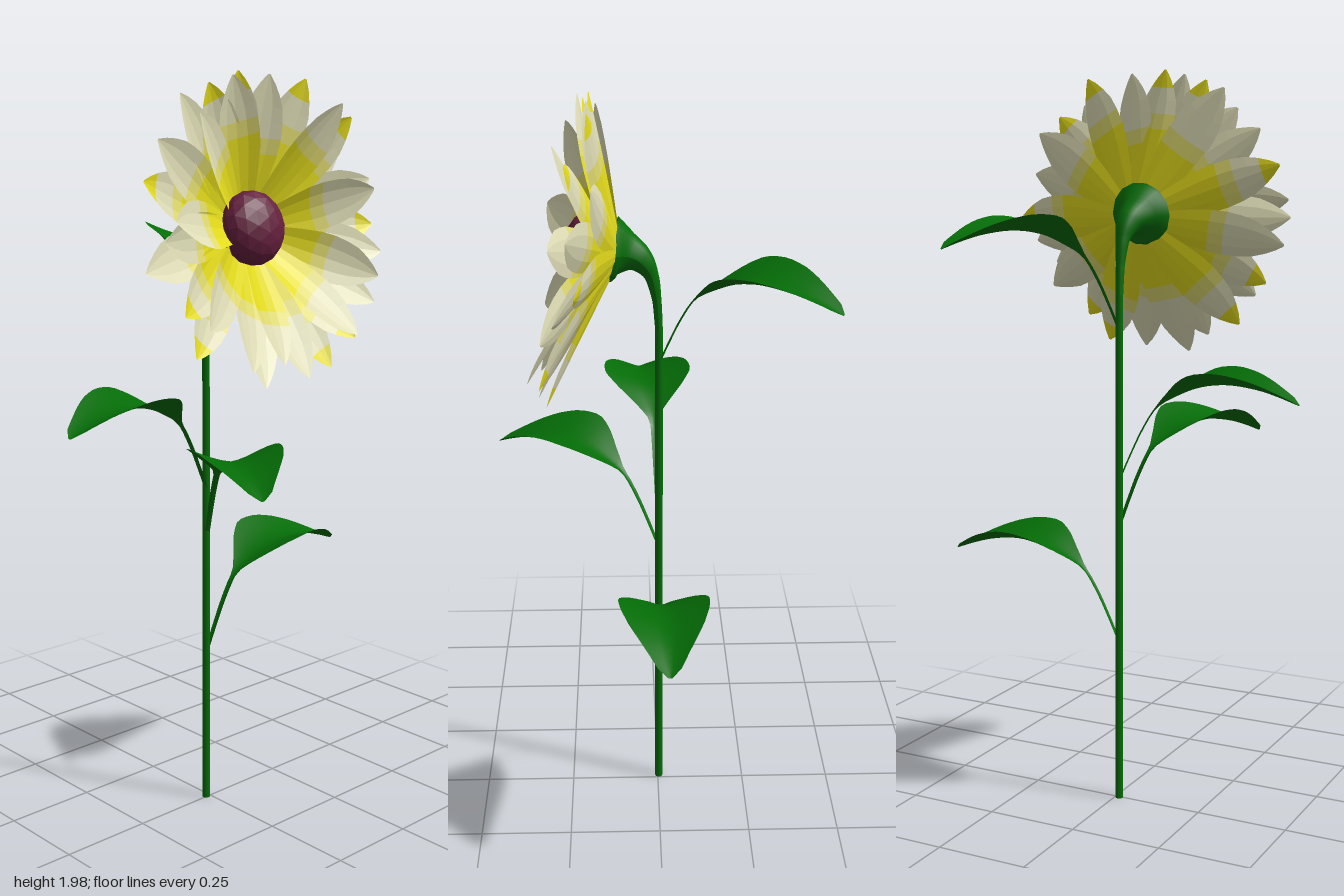
import * as THREE from 'three';

const mat = (name, color, flat = false) => {
  const m = new THREE.MeshStandardMaterial({ color, side: THREE.DoubleSide, flatShading: flat });
  m.name = name;
  return m;
};

// Surface through rows of points; bandOf(row) picks a material index
function sheet(rows, bandOf = () => 0) {
  const n = rows[0].length, pos = [], idx = [];
  const g = new THREE.BufferGeometry();
  rows.forEach(r => r.forEach(p => pos.push(p.x, p.y, p.z)));
  for (let i = 0; i < rows.length - 1; i++) {
    g.addGroup(idx.length, (n - 1) * 6, bandOf(i));
    for (let j = 0; j < n - 1; j++) {
      const a = i * n + j, b = a + n;
      idx.push(a, a + 1, b, a + 1, b + 1, b);
    }
  }
  g.setAttribute('position', new THREE.Float32BufferAttribute(pos, 3));
  g.setIndex(idx);
  g.computeVertexNormals();
  return g;
}

// Linear interpolation in a list of [t, value]
function lerpTable(table, t) {
  for (let i = 1; i < table.length; i++) {
    const [t0, a] = table[i - 1], [t1, b] = table[i];
    if (t <= t1) return a + (b - a) * (t - t0) / (t1 - t0);
  }
  return table[table.length - 1][1];
}

export function createModel() {
  const model = new THREE.Group();
  model.name = 'flower';
  const green = mat('leaf green', 0x046c06);
  const plum = mat('plum centre', 0x66203e, true);
  const petalMats = [
    mat('petal yellow', 0xe4dc1c, true),
    mat('petal pale yellow', 0xe1db70, true),
    mat('petal cream', 0xdfddb6, true),
  ];
  const add = (parent, name, geo, m) => {
    const mesh = new THREE.Mesh(geo, m);
    mesh.name = name;
    parent.add(mesh);
    return mesh;
  };
  let seed = 7;
  const rand = () => ((seed = (seed * 16807) % 2147483647) / 2147483647) * 2 - 1;
  const SX = -0.012;

  // Straight stem
  const stem = add(model, 'stem', new THREE.CylinderGeometry(0.01, 0.011, 1.4, 10), green);
  stem.position.set(SX, 0.7, -0.003);

  // Bent neck that flares into the calyx: a tube with its radius rescaled along the path
  const neckPath = new THREE.CatmullRomCurve3([
    [SX, 1.39, -0.003], [SX, 1.48, 0.004], [SX, 1.545, 0.02],
    [SX - 0.002, 1.582, 0.05], [SX - 0.005, 1.597, 0.085], [SX - 0.005, 1.603, 0.115],
  ].map(p => new THREE.Vector3(...p)));
  const SEG = 28, RAD = 14;
  const neck = new THREE.TubeGeometry(neckPath, SEG, 1, RAD);
  const flare = [[0, 0.01], [0.3, 0.012], [0.55, 0.019], [0.7, 0.032], [0.8, 0.043], [0.88, 0.056], [0.95, 0.077], [1, 0.085]];
  const np = neck.attributes.position, v = new THREE.Vector3();
  for (let i = 0; i <= SEG; i++) {
    const c = neckPath.getPointAt(i / SEG), r = lerpTable(flare, i / SEG);
    for (let j = 0; j <= RAD; j++) {
      const k = i * (RAD + 1) + j;
      v.fromBufferAttribute(np, k).sub(c).multiplyScalar(r).add(c);
      np.setXYZ(k, v.x, v.y, v.z);
    }
  }
  neck.computeVertexNormals();
  add(model, 'neckAndCalyx', neck, green);

  // Leaves: a narrow stalk widening into an arched blade with raised edges
  const rib = new THREE.CatmullRomCurve3([
    [0, 0], [0.03, 0.065], [0.07, 0.143], [0.11, 0.2], [0.16, 0.23], [0.23, 0.258],
    [0.31, 0.268], [0.4, 0.257], [0.46, 0.24], [0.51, 0.222],
  ].map(([x, y]) => new THREE.Vector3(x, y, 0)));
  const leafWidth = [[0, 0.007], [0.11, 0.009], [0.15, 0.045], [0.19, 0.085], [0.23, 0.114], [0.26, 0.12],
    [0.31, 0.115], [0.37, 0.096], [0.42, 0.07], [0.46, 0.047], [0.49, 0.03], [0.51, 0.006]];
  const leafRows = [];
  for (let i = 0; i <= 30; i++) {
    const p = rib.getPointAt(i / 30), w = lerpTable(leafWidth, p.x);
    const row = [];
    for (let s = -1; s <= 1.01; s += 0.25) {
      row.push(new THREE.Vector3(p.x, p.y + 0.34 * w * Math.abs(s) ** 1.4, w * s));
    }
    leafRows.push(row);
  }
  const leafGeo = sheet(leafRows);
  // [start height, direction x, direction z, length scale]
  [[0.44, 0.51, -0.018, 1], [0.895, -0.488, 0.045, 0.96],
    [0.77, -0.222, 0.435, 0.97], [1.29, 0.268, -0.435, 1]].forEach(([y, dx, dz, s], i) => {
    const leaf = add(model, 'leaf' + (i + 1), leafGeo, green);
    leaf.position.set(SX, y, 0);
    leaf.rotation.y = Math.atan2(-dz, dx);
    leaf.scale.set(s, 1, 1);
  });

  // Flower head, facing forward and tilted slightly up
  const head = new THREE.Group();
  head.name = 'flowerHead';
  head.position.set(0, 1.593, 0.1);
  head.rotation.x = -0.17;
  model.add(head);

  // Petal pointing along +y, cupped, lifting towards the front; yellow at the base, cream beyond
  const petalWidth = [[0, 0.02], [0.2, 0.042], [0.45, 0.059], [0.62, 0.062], [0.8, 0.049], [0.92, 0.026], [1, 0.003]];
  const rowsT = [0, 0.15, 0.3, 0.46, 0.57, 0.68, 0.78, 0.87, 0.94, 1];
  function petal(length, rise, yellowRows, yellowTip) {
    const rows = rowsT.map(t => {
      const w = lerpTable(petalWidth, t);
      return [-1, -0.5, 0, 0.5, 1].map(s => new THREE.Vector3(
        w * s, 0.03 + (length - 0.03) * t,
        rise * t + 0.2 * w * s * s));
    });
    return sheet(rows, i => {
      if (i < yellowRows || (yellowTip && i >= 7)) return 0;
      return i === yellowRows ? 1 : 2;
    });
  }

  // Three staggered rings, back to front
  [
    { name: 'backPetal', n: 11, r: 0.392, rise: 0.11, z: 0, turn: 0.13, longYellow: 2, tipEvery: 2 },
    { name: 'middlePetal', n: 11, r: 0.38, rise: 0.13, z: 0.016, turn: 0.42, longYellow: 3, tipEvery: 3 },
    { name: 'frontPetal', n: 9, r: 0.358, rise: 0.145, z: 0.034, turn: 0.2, longYellow: 4, tipEvery: 0 },
  ].forEach(ring => {
    for (let i = 0; i < ring.n; i++) {
      const tip = ring.tipEvery > 0 && i % ring.tipEvery === 0;
      const yellow = i % ring.longYellow === 0 ? 4 : 3;
      const geo = petal(ring.r + rand() * 0.014, ring.rise + rand() * 0.03, yellow, tip);
      const p = add(head, ring.name + (i + 1), geo, petalMats);
      p.position.z = ring.z;
      p.rotation.z = ring.turn + i / ring.n * Math.PI * 2 + rand() * 0.06;
      p.rotateY(rand() * 0.3);
    }
  });

  // Domed centre
  const centre = add(head, 'flowerCentre', new THREE.IcosahedronGeometry(1, 2), plum);
  centre.scale.set(0.095, 0.094, 0.062);
  centre.position.set(-0.02, 0, 0.08);
  return model;
}
